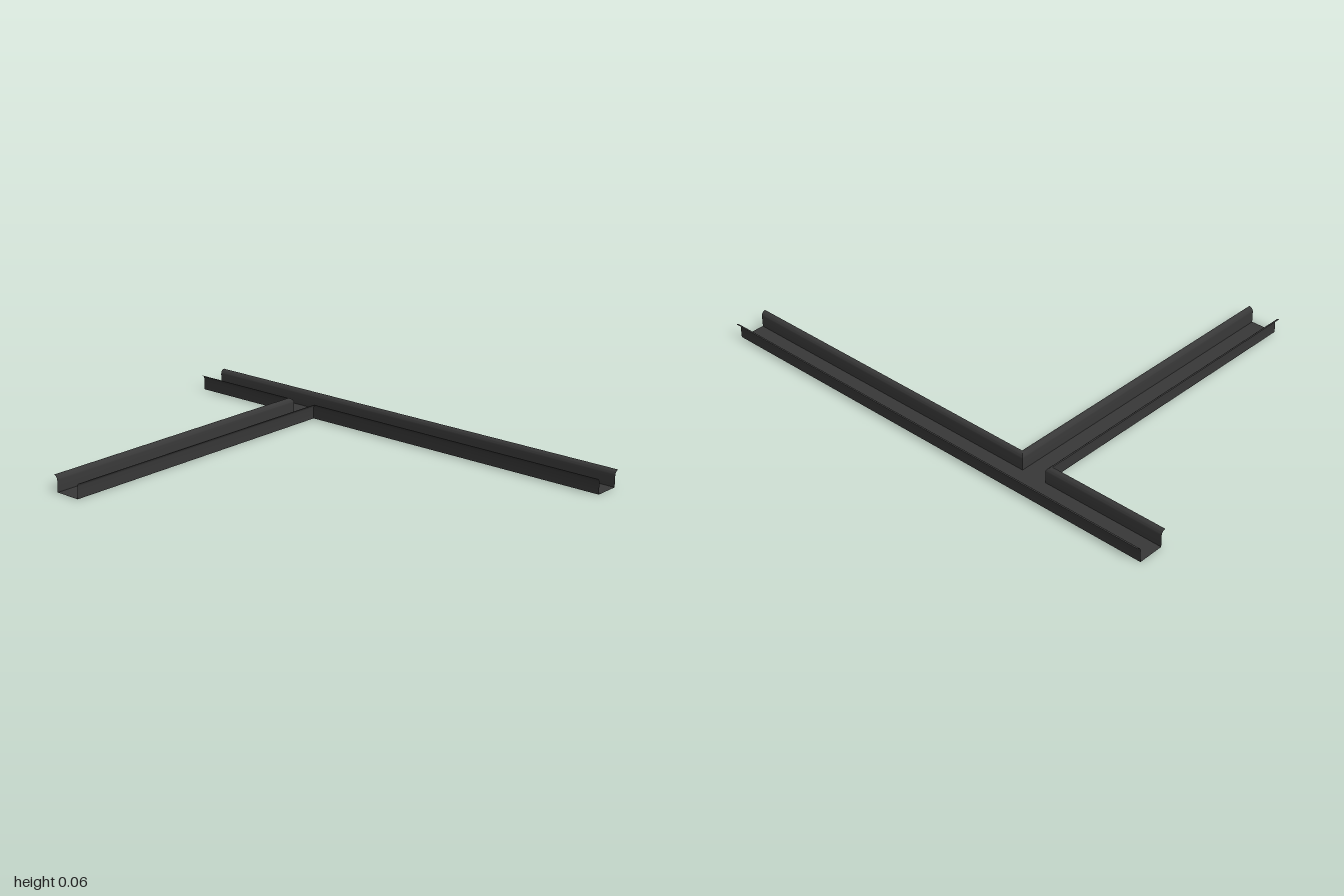
import * as THREE from 'three';
import { toCreasedNormals } from 'three/addons/utils/BufferGeometryUtils.js';

const R = 0.018, H = 0.065;            // lip radius, overall height
const XL = 0.588, XR = 0.693;          // walls of the main channel
const ZB = -0.485, ZF = -0.377;        // walls of the branch channel
const END = -0.711;                    // open end of the branch

// Wall profile as [outward offset, height]: straight, then a quarter-round lip
const profile = [[0, 0]];
for (let i = 0; i <= 5; i++) {
  const a = (i / 5) * Math.PI / 2;
  profile.push([R * (1 - Math.cos(a)), H - R + R * Math.sin(a)]);
}

// Sweeps the profile along plan points [x, z, outward x, outward z], mitred at corners
function wallGeometry(path) {
  const pos = [], index = [], n = profile.length;
  for (const [x, z, ox, oz] of path)
    for (const [d, y] of profile) pos.push(x + ox * d, y, z + oz * d);
  for (let i = 0; i < path.length - 1; i++)
    for (let j = 0; j < n - 1; j++) {
      const a = i * n + j, b = a + n;
      index.push(a, a + 1, b, b, a + 1, b + 1);
    }
  const geo = new THREE.BufferGeometry();
  geo.setAttribute('position', new THREE.Float32BufferAttribute(pos, 3));
  geo.setIndex(index);
  return toCreasedNormals(geo, 0.5);
}

export function createModel() {
  const group = new THREE.Group();
  const material = new THREE.MeshStandardMaterial({ color: 0x383838, side: THREE.DoubleSide });
  const add = (name, geo) => {
    const mesh = new THREE.Mesh(geo, material);
    mesh.name = name;
    group.add(mesh);
  };

  // T-shaped floor, drawn in x and -z and laid flat
  const outline = [[XL, -1], [XR, -1], [XR, 1], [XL, 1], [XL, ZF], [END, ZF], [END, ZB], [XL, ZB]];
  const floor = new THREE.ShapeGeometry(new THREE.Shape(outline.map(([x, z]) => new THREE.Vector2(x, -z))));
  floor.rotateX(-Math.PI / 2);
  add('channelFloor', floor);

  // Straight outer wall and the two walls that turn into the branch
  add('outerWall', wallGeometry([[XR, 1, 1, 0], [XR, -1, 1, 0]]));
  add('backCornerWall', wallGeometry([[XL, -1, -1, 0], [XL, ZB, -1, -1], [END, ZB, 0, -1]]));
  add('frontCornerWall', wallGeometry([[END, ZF, 0, 1], [XL, ZF, -1, 1], [XL, 1, -1, 0]]));
  return group;
}
